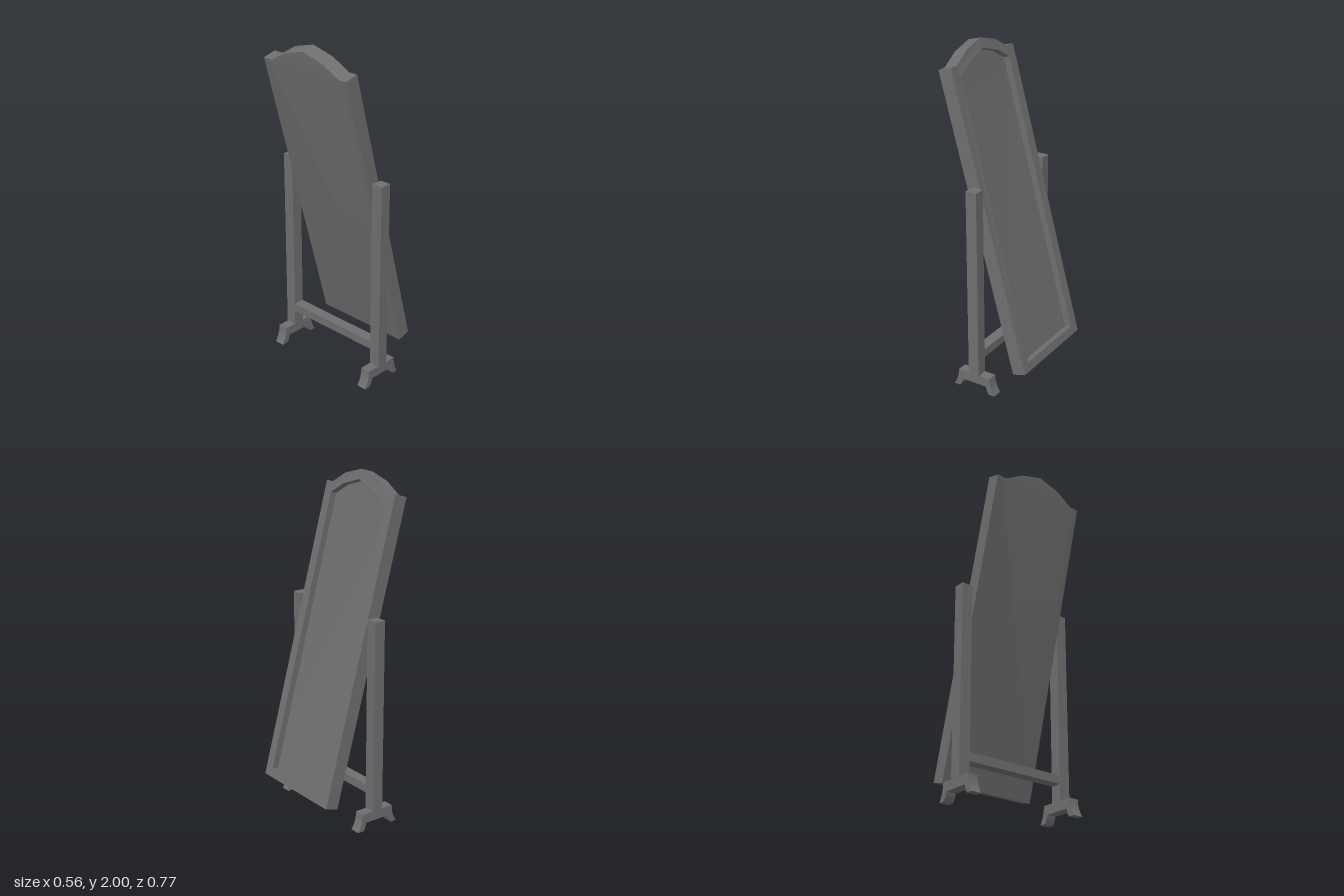
import * as THREE from 'three';
import { toCreasedNormals } from 'three/addons/utils/BufferGeometryUtils.js';

const material = new THREE.MeshStandardMaterial({ color: 0x6e6e6e });

function add(parent, name, geometry, x = 0, y = 0, z = 0) {
  const mesh = new THREE.Mesh(geometry, material);
  mesh.name = name;
  mesh.position.set(x, y, z);
  parent.add(mesh);
}

const toVectors = (points) => points.map(([x, y]) => new THREE.Vector2(x, y));
const extrude = (shape, depth) =>
  new THREE.ExtrudeGeometry(shape, { depth, bevelEnabled: false, curveSegments: 4 });

// Arched top curls slightly forward towards its middle
function curlArch(geometry) {
  const p = geometry.attributes.position;
  for (let i = 0; i < p.count; i++) {
    const across = (p.getX(i) + 0.01) / 0.245;
    p.setZ(i, p.getZ(i) + 0.014 * Math.max(0, 1 - across * across));
  }
  return toCreasedNormals(geometry, 0.65);
}

// Tilted cheval mirror: solid back with a raised frame around the glass
function createMirror() {
  const mirror = new THREE.Group();
  mirror.name = 'tiltedMirror';
  const outline = toVectors([
    [-0.315, 0], [0.301, 0], [0.301, 1.795], [0.238, 1.795], [0.127, 1.857],
    [-0.012, 1.894], [-0.15, 1.857], [-0.257, 1.795], [-0.315, 1.795],
  ]);
  const opening = toVectors([
    [-0.255, 0.053], [0.237, 0.053], [0.237, 1.733], [0.127, 1.794],
    [-0.012, 1.836], [-0.15, 1.794], [-0.255, 1.733],
  ]);
  const frame = new THREE.Shape(outline);
  frame.holes.push(new THREE.Path(opening));
  add(mirror, 'mirrorBackAndGlass', curlArch(extrude(new THREE.Shape(outline), 0.043)));
  add(mirror, 'mirrorFrame', curlArch(extrude(frame, 0.04)), 0, 0, 0.043);

  // Glass faces +x, top leans towards -x
  mirror.rotation.set(0, Math.PI / 2, 0.265, 'ZYX');
  mirror.position.set(0.2, 0.146, 0);
  return mirror;
}

// Foot: a short beam with two legs that flare outwards
function footShape() {
  const s = new THREE.Shape();
  s.moveTo(-0.169, 0);
  s.lineTo(-0.129, 0);
  s.quadraticCurveTo(-0.112, 0.025, -0.11, 0.048);
  s.lineTo(0.052, 0.048);
  s.quadraticCurveTo(0.055, 0.025, 0.071, 0);
  s.lineTo(0.111, 0);
  s.quadraticCurveTo(0.078, 0.045, 0.078, 0.105);
  s.lineTo(-0.136, 0.105);
  s.quadraticCurveTo(-0.136, 0.045, -0.169, 0);
  return s;
}

export function createModel() {
  const model = new THREE.Group();
  model.name = 'standingMirror';
  model.add(createMirror());

  // Posts and feet on both sides
  const foot = toCreasedNormals(extrude(footShape(), 0.062), 0.5);
  for (const [side, sign, top] of [['front', 1, 1.25], ['back', -1, 1.235]]) {
    const height = top - 0.1;
    add(model, side + 'Post', new THREE.BoxGeometry(0.068, height, 0.068),
      -0.028, 0.1 + height / 2, sign * 0.349);
    add(model, side + 'Foot', foot, 0, 0, sign * 0.348 - 0.032);
  }

  // Stretcher joining the posts
  add(model, 'crossbar', new THREE.BoxGeometry(0.066, 0.05, 0.64), -0.028, 0.225, 0);
  return model;
}
